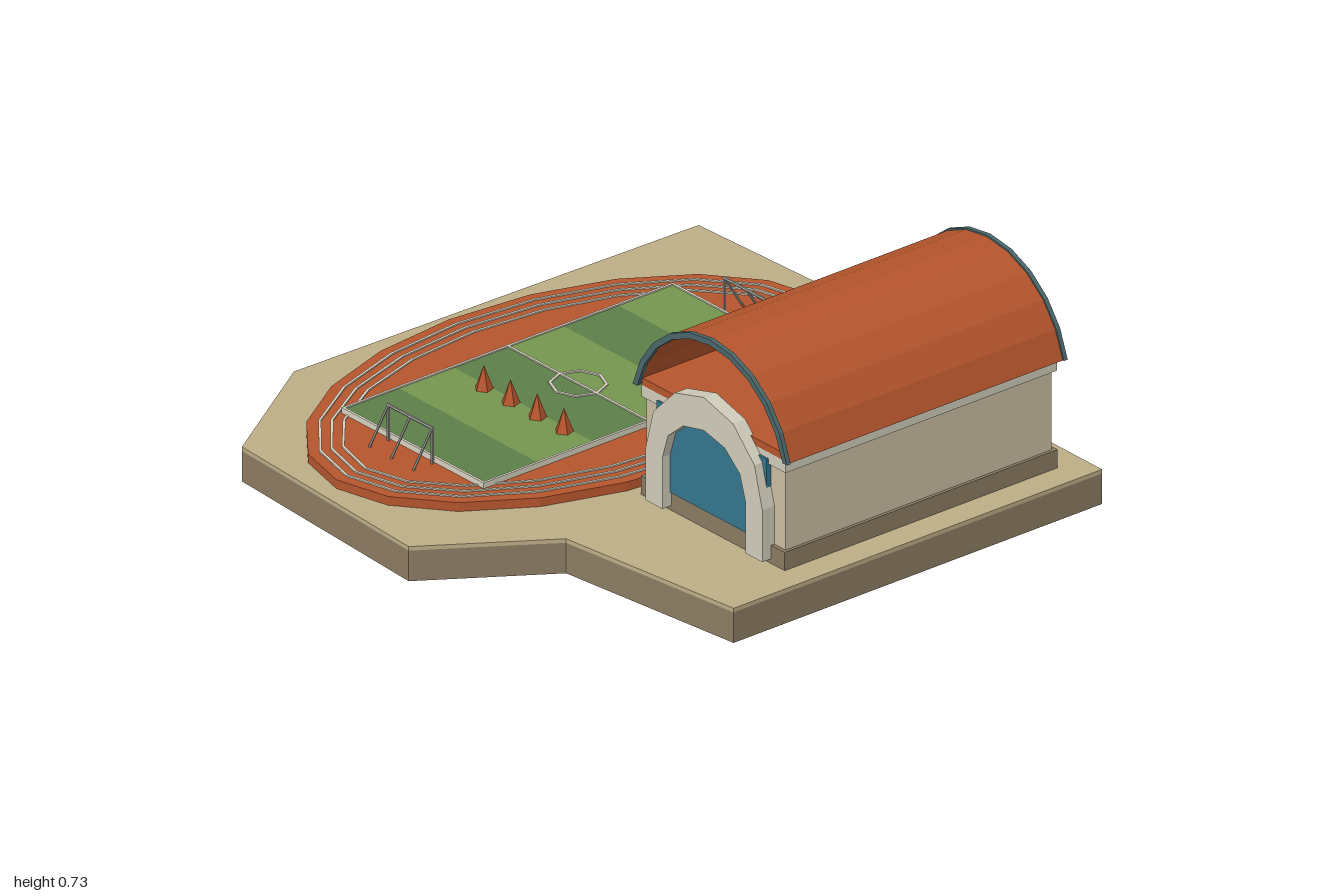
import * as THREE from 'three';

const mat = (color, side = THREE.FrontSide) => {
  const m = new THREE.MeshStandardMaterial({ color, side, flatShading: true });
  return m;
};
const SAND = mat(0xbcad86), EARTH = mat(0x8b7b62), CLAY = mat(0xb5552d), LINE = mat(0xd6d1c0);
const GRASS = [mat(0x76964f), mat(0x5c8048)], WALL = mat(0xc9bda3), CREAM = mat(0xd0cbba);
const TEAL = mat(0x35758c), TRIM = mat(0x4a666a), METAL = mat(0x9c9a92);

function add(parent, name, geometry, material, x = 0, y = 0, z = 0) {
  const mesh = new THREE.Mesh(geometry, material);
  mesh.name = name;
  mesh.position.set(x, y, z);
  parent.add(mesh);
  return mesh;
}

// Box given by its min and max on each axis
function block(parent, name, material, [x0, x1], [y0, y1], [z0, z1]) {
  return add(parent, name, new THREE.BoxGeometry(x1 - x0, y1 - y0, z1 - z0), material,
    (x0 + x1) / 2, (y0 + y1) / 2, (z0 + z1) / 2);
}

// Round bar between two points
function bar(parent, name, a, b, r = 0.005) {
  const p = new THREE.Vector3(...a), q = new THREE.Vector3(...b);
  const mesh = add(parent, name, new THREE.CylinderGeometry(r, r, p.distanceTo(q), 6), METAL);
  mesh.position.copy(p).lerp(q, 0.5);
  mesh.quaternion.setFromUnitVectors(new THREE.Vector3(0, 1, 0), q.sub(p).normalize());
}

// Points of an arc; angles in radians
function arc(cx, cy, rx, ry, from, to, n) {
  return Array.from({ length: n + 1 }, (_, i) => {
    const t = from + (to - from) * i / n;
    return new THREE.Vector2(cx + rx * Math.cos(t), cy + ry * Math.sin(t));
  });
}

// Ground plan (x, -z) raised between two heights
function slab(parent, name, material, points, y0, y1, hole) {
  const shape = new THREE.Shape(points);
  if (hole) shape.holes.push(new THREE.Path(hole));
  const g = new THREE.ExtrudeGeometry(shape, { depth: y1 - y0, bevelEnabled: false });
  return add(parent, name, g.rotateX(-Math.PI / 2), material, 0, y0, 0);
}

// Band between an outer and inner arc in the front plane, extruded along z
function archBand(parent, name, material, outer, inner, z0, z1) {
  const shape = new THREE.Shape([...outer, ...inner.slice().reverse()]);
  const g = new THREE.ExtrudeGeometry(shape, { depth: z1 - z0, bevelEnabled: false });
  return add(parent, name, g, material, 0, 0, z0);
}

function makeGround() {
  const g = new THREE.Group();
  g.name = 'ground';
  const plan = [[-0.95, -0.95], [0.13, -1], [0.39, -0.83], [0.975, -0.83], [0.975, 0.54],
    [0.33, 0.62], [0.08, 0.995], [-0.71, 0.95], [-0.98, 0.53]].map(([x, z]) => new THREE.Vector2(x, -z));
  slab(g, 'earthBase', EARTH, plan, 0, 0.097);
  slab(g, 'sandTop', SAND, plan, 0.097, 0.11);
  return g;
}

const CX = -0.335, CZ = 0.015;

function makeField() {
  const g = new THREE.Group();
  g.name = 'sportsField';

  // Running track with lane lines
  const oval = (inset) => arc(CX, -CZ, 0.572 - inset, 0.9 - inset, 0, Math.PI * 2, 20).slice(0, 20);
  slab(g, 'runningTrack', CLAY, oval(0), 0.105, 0.138);
  for (const inset of [0.034, 0.069, 0.104])
    slab(g, 'laneLine', LINE, oval(inset), 0.136, 0.142, oval(inset + 0.008));

  // Mown stripes
  const x0 = -0.645, x1 = -0.025, z0 = -0.597, step = 0.204;
  for (let i = 0; i < 6; i++)
    block(g, 'grassStripe', GRASS[i % 2], [x0, x1], [0.13, 0.152], [z0 + i * step, z0 + (i + 1) * step]);

  // Pitch markings
  const z1 = z0 + 6 * step, y = [0.13, 0.156], w = 0.008;
  for (const x of [x0, x1]) block(g, 'sideLine', LINE, [x - w / 2, x + w / 2], y, [z0, z1]);
  for (const z of [z0, CZ, z1]) block(g, 'crossLine', LINE, [x0 - w / 2, x1 + w / 2], y, [z - w / 2, z + w / 2]);
  const ring = (r) => arc(CX, -CZ, r, r, 0, Math.PI * 2, 8).slice(0, 8);
  slab(g, 'centreCircle', LINE, ring(0.086), 0.15, 0.156, ring(0.077));

  // Goals at both ends
  for (const s of [-1, 1]) {
    const goal = new THREE.Group();
    goal.name = 'goal';
    const zf = CZ + s * 0.625, zb = CZ + s * 0.695, top = 0.25, h = 0.097;
    for (const dx of [-h, h]) bar(goal, 'goalPost', [CX + dx, 0.138, zf], [CX + dx, top, zf]);
    bar(goal, 'crossbar', [CX - h - 0.005, top, zf], [CX + h + 0.005, top, zf]);
    for (const dx of [-h, 0, h]) bar(goal, 'goalStay', [CX + dx, top, zf], [CX + dx, 0.138, zb], 0.004);
    g.add(goal);
  }

  // Row of training cones
  for (let i = 0; i < 4; i++)
    add(g, 'trainingCone', new THREE.ConeGeometry(0.028, 0.075, 5), CLAY, -0.485 + i * 0.118, 0.19, 0.24);
  return g;
}

function makeHall() {
  const g = new THREE.Group();
  g.name = 'sportsHall';
  const X = 0.568;
  const span = (h) => [X - h, X + h];

  block(g, 'plinth', EARTH, span(0.318), [0.105, 0.168], [-0.74, 0.275]);
  block(g, 'walls', WALL, span(0.308), [0.168, 0.42], [-0.725, 0.263]);
  block(g, 'cornice', CREAM, span(0.318), [0.42, 0.457], [-0.737, 0.272]);
  block(g, 'atticFloor', CLAY, span(0.316), [0.457, 0.48], [-0.737, 0.272]);

  // Open barrel roof with a dark rim at each end
  const vault = (r) => {
    const cy = 0.377, a = Math.asin((0.457 - cy) / r);
    return arc(X, cy, r, r, a, Math.PI - a, 10);
  };
  archBand(g, 'barrelRoof', CLAY, vault(0.345), vault(0.333), -0.75, 0.28);
  for (const z of [-0.758, 0.272]) archBand(g, 'roofRim', TRIM, vault(0.35), vault(0.331), z, z + 0.014);

  // Entrance: glazed front behind a portal arch
  block(g, 'entranceGlazing', TEAL, span(0.243), [0.168, 0.437], [0.25, 0.279]);
  const portal = (rx, ry) => {
    const pts = arc(X, 0.29, rx, ry, 0, Math.PI, 6);
    return [new THREE.Vector2(X + rx, 0.125), ...pts, new THREE.Vector2(X - rx, 0.125)];
  };
  archBand(g, 'portalArch', CREAM, portal(0.258, 0.26), portal(0.183, 0.155), 0.262, 0.308);

  // Back windows
  for (const dx of [-0.15, 0.15])
    for (const y of [0.215, 0.348])
      block(g, 'backWindow', TEAL, [X + dx - 0.075, X + dx + 0.075], [y - 0.033, y + 0.033], [-0.736, -0.715]);
  return g;
}

export function createModel() {
  const model = new THREE.Group();
  model.name = 'sportsGround';
  model.add(makeGround(), makeField(), makeHall());
  return model;
}
